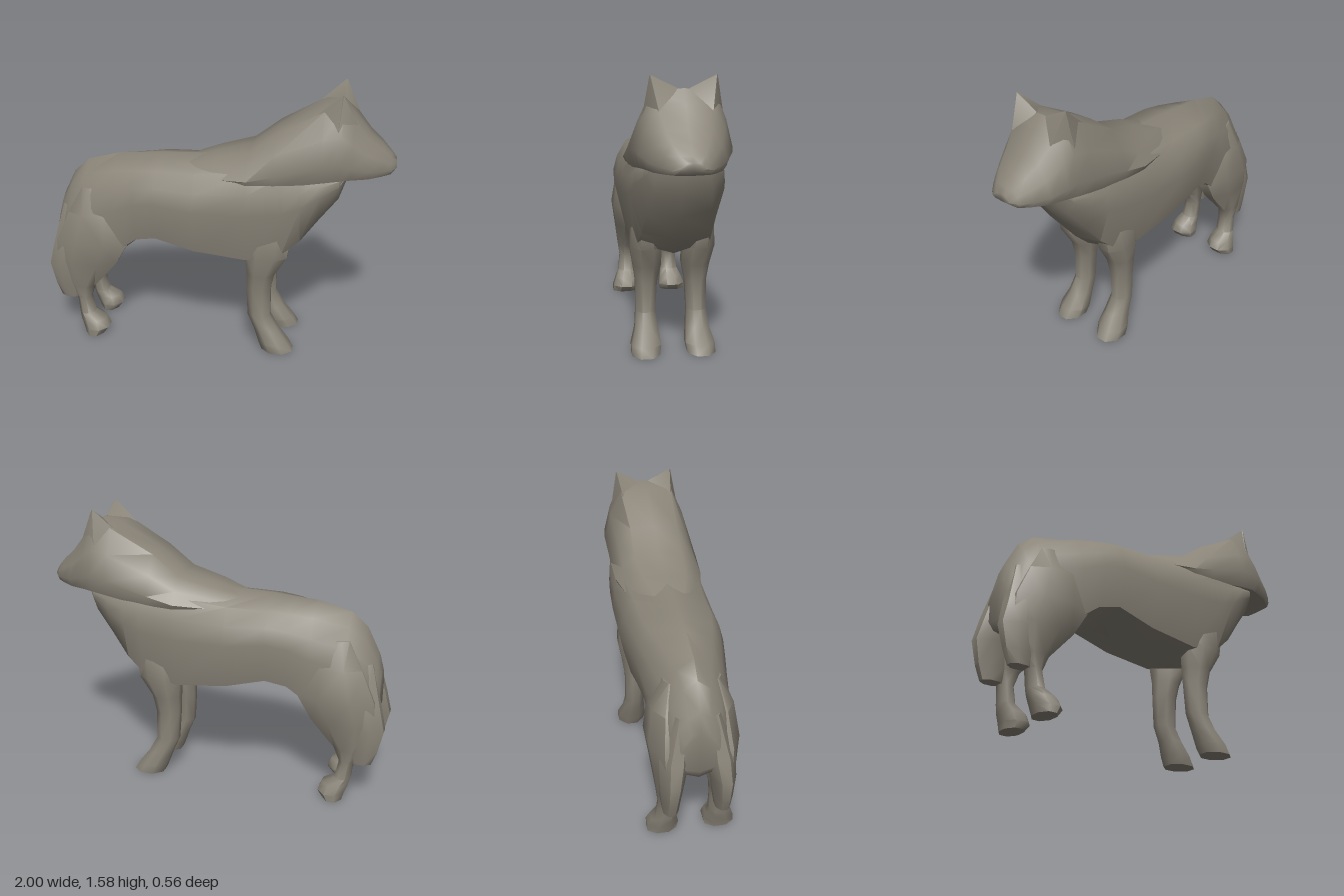
import * as THREE from 'three';
import { toCreasedNormals } from 'three/addons/utils/BufferGeometryUtils.js';

// Skin a closed surface over equal-length rings of [x, y, z], capping both ends.
// flip reverses the faces, for mirrored rings.
function loft(rings, flip = false) {
  const n = rings[0].length, idx = [];
  const tri = (a, b, c) => (flip ? idx.push(a, c, b) : idx.push(a, b, c));
  for (let r = 0; r < rings.length - 1; r++) {
    for (let i = 0; i < n; i++) {
      const a = r * n + i, b = r * n + (i + 1) % n;
      tri(a, b, a + n);
      tri(b, b + n, a + n);
    }
  }
  const last = (rings.length - 1) * n;
  for (let i = 1; i < n - 1; i++) {
    tri(0, i + 1, i);
    tri(last, last + i, last + i + 1);
  }
  const g = new THREE.BufferGeometry();
  g.setAttribute('position', new THREE.Float32BufferAttribute(rings.flat(2), 3));
  g.setIndex(idx);
  return toCreasedNormals(g, 0.95);
}

// Cross-section at x: half widths near the top, at the widest level and near the bottom.
function section([x, top, bottom, wTop, wMid, wLow], high, mid, low) {
  const y = (t) => bottom + (top - bottom) * t;
  const half = [[wTop, y(high)], [(wTop + wMid) * 0.53, y((high + mid) / 2)], [wMid, y(mid)], [wLow, y(low)]];
  return [
    [x, top, 0],
    ...half.map(([w, h]) => [x, h, w]),
    [x, bottom, 0],
    ...half.reverse().map(([w, h]) => [x, h, -w]),
  ];
}

// Limb slice at height y: an eight-sided outline in the given x and z ranges.
function slice([y, x0, x1, z0, z1], side) {
  const ring = [];
  for (let i = 0; i < 8; i++) {
    const a = (i + 0.5) * Math.PI / 4;
    const x = (x0 + x1) / 2 + (x1 - x0) / 2 * Math.cos(a) / 0.924;
    const z = (z0 + z1) / 2 + (z1 - z0) / 2 * Math.sin(a) / 0.924;
    ring.push([x, y, z * side]);
  }
  return ring;
}

// x, top, bottom, half widths
const BODY = [
  [-0.955, 0.76, 0.52, 0.05, 0.10, 0.09],
  [-0.93, 0.86, 0.47, 0.06, 0.13, 0.11],
  [-0.86, 1.00, 0.45, 0.07, 0.17, 0.14],
  [-0.77, 1.08, 0.45, 0.09, 0.195, 0.16],
  [-0.58, 1.13, 0.51, 0.14, 0.225, 0.18],
  [-0.45, 1.14, 0.62, 0.17, 0.245, 0.20],
  [-0.33, 1.15, 0.65, 0.19, 0.265, 0.22],
  [-0.10, 1.16, 0.58, 0.20, 0.28, 0.22],
  [0.20, 1.20, 0.54, 0.22, 0.275, 0.215],
  [0.40, 1.20, 0.59, 0.22, 0.265, 0.20],
  [0.50, 1.19, 0.69, 0.215, 0.255, 0.19],
  [0.60, 1.18, 0.84, 0.20, 0.235, 0.17],
  [0.70, 1.17, 0.98, 0.18, 0.20, 0.15],
  [0.74, 1.16, 1.11, 0.13, 0.16, 0.13],
];
const HEAD = [
  [-0.20, 1.12, 1.06, 0.07, 0.13, 0.09],
  [0.00, 1.185, 1.05, 0.12, 0.215, 0.19],
  [0.20, 1.24, 1.05, 0.14, 0.255, 0.235],
  [0.35, 1.36, 1.06, 0.14, 0.26, 0.235],
  [0.60, 1.50, 1.10, 0.155, 0.262, 0.23],
  [0.70, 1.52, 1.115, 0.155, 0.25, 0.22],
  [0.76, 1.45, 1.12, 0.14, 0.235, 0.20],
  [0.85, 1.34, 1.125, 0.115, 0.195, 0.17],
  [0.92, 1.28, 1.13, 0.09, 0.145, 0.125],
  [0.97, 1.23, 1.135, 0.06, 0.10, 0.085],
  [1.00, 1.20, 1.16, 0.03, 0.06, 0.04],
];
// y, x range, z range
const FRONT_LEG = [
  [0.85, 0.26, 0.40, 0.12, 0.20],
  [0.75, 0.20, 0.45, 0.09, 0.225],
  [0.62, 0.19, 0.43, 0.06, 0.235],
  [0.50, 0.20, 0.36, 0.06, 0.215],
  [0.40, 0.20, 0.34, 0.08, 0.20],
  [0.23, 0.21, 0.34, 0.09, 0.20],
  [0.14, 0.25, 0.39, 0.08, 0.21],
  [0.06, 0.28, 0.45, 0.07, 0.235],
  [0.01, 0.30, 0.48, 0.08, 0.235],
];
const HIND_LEG = [
  [0.95, -0.78, -0.64, 0.08, 0.15],
  [0.80, -0.86, -0.54, 0.03, 0.215],
  [0.62, -0.94, -0.51, 0.03, 0.24],
  [0.48, -0.95, -0.59, 0.05, 0.22],
  [0.32, -0.88, -0.73, 0.09, 0.20],
  [0.24, -0.84, -0.76, 0.09, 0.19],
  [0.14, -0.83, -0.74, 0.09, 0.20],
  [0.10, -0.82, -0.67, 0.08, 0.22],
  [0.05, -0.80, -0.65, 0.07, 0.24],
  [0.01, -0.79, -0.68, 0.08, 0.24],
];
const HOCK = [
  [0.82, -0.91, -0.80, 0.05, 0.12],
  [0.58, -0.97, -0.72, 0.04, 0.20],
  [0.45, -1.00, -0.74, 0.07, 0.20],
  [0.32, -0.97, -0.78, 0.09, 0.19],
  [0.24, -0.94, -0.82, 0.10, 0.18],
];
// Ear base corners, blending into the crown, and the small tip
const EAR = [
  [[0.52, 1.43, 0.14], [0.68, 1.38, 0.205], [0.79, 1.395, 0.13], [0.70, 1.52, 0.03]],
  [[0.692, 1.585, 0.165], [0.697, 1.585, 0.169], [0.702, 1.585, 0.165], [0.697, 1.585, 0.161]],
];

export function createModel() {
  const model = new THREE.Group();
  const fur = new THREE.MeshStandardMaterial({ color: 0x8a8478 });
  fur.name = 'grey fur';
  const add = (name, geometry) => {
    const mesh = new THREE.Mesh(geometry, fur);
    mesh.name = name;
    model.add(mesh);
  };

  // Torso, then the ruff, head and muzzle as one tapering form
  add('torso', loft(BODY.map((s) => section(s, 0.9, 0.55, 0.1))));
  add('neckAndHead', loft(HEAD.map((s) => section(s, 0.97, 0.26, 0.03))));

  // Paired parts, mirrored across the body
  for (const side of [1, -1]) {
    const label = side > 0 ? 'Near' : 'Far';
    const limb = (rows) => loft(rows.map((s) => slice(s, side)), side < 0);
    add('frontLeg' + label, limb(FRONT_LEG));
    add('hindLeg' + label, limb(HIND_LEG));
    add('hockFur' + label, limb(HOCK));
    const ear = EAR.map((ring) => ring.map(([x, y, z]) => [x, y, z * side]));
    add('ear' + label, loft(ear, side < 0));
  }
  return model;
}
